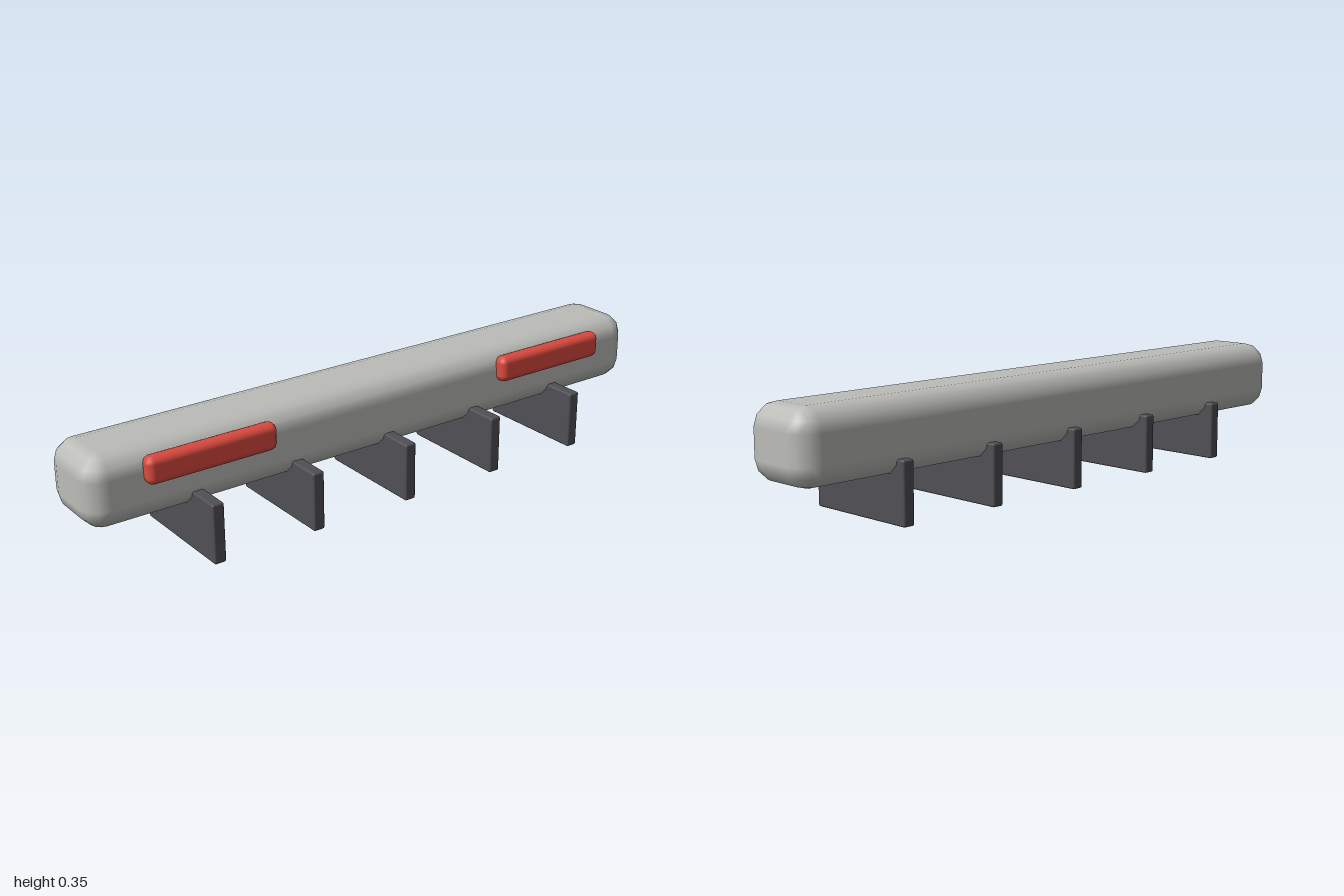
import * as THREE from 'three';
import { ConvexGeometry } from 'three/addons/geometries/ConvexGeometry.js';

// Box with edges rounded in three steps; normals follow the rounding.
function roundedBox(w, h, d, r) {
  const core = new THREE.Vector3(w / 2 - r, h / 2 - r, d / 2 - r);
  const points = [];
  for (const sx of [-1, 1]) for (const sy of [-1, 1]) for (const sz of [-1, 1]) {
    for (let i = 0; i <= 3; i++) {
      const a = (i * Math.PI) / 6;
      const steps = i === 3 ? 0 : 3;
      for (let j = 0; j <= steps; j++) {
        const b = (j * Math.PI) / 6;
        points.push(new THREE.Vector3(
          sx * (core.x + r * Math.cos(a) * Math.cos(b)),
          sy * (core.y + r * Math.sin(a)),
          sz * (core.z + r * Math.cos(a) * Math.sin(b))
        ));
      }
    }
  }
  const geometry = new ConvexGeometry(points);
  const { position, normal } = geometry.attributes;
  const p = new THREE.Vector3(), q = new THREE.Vector3(), low = core.clone().negate();
  for (let i = 0; i < position.count; i++) {
    p.fromBufferAttribute(position, i);
    q.copy(p).clamp(low, core);
    p.sub(q).normalize();
    normal.setXYZ(i, p.x, p.y, p.z);
  }
  return geometry;
}

export function createModel() {
  const model = new THREE.Group();
  model.name = 'finnedBar';
  const material = (name, color) => {
    const m = new THREE.MeshStandardMaterial({ color });
    m.name = name;
    return m;
  };
  const grey = material('lightGrey', 0xbcbcb8);
  const dark = material('darkGrey', 0x505055);
  const red = material('red', 0xdc4a40);

  const add = (name, geometry, mat, x, y, z) => {
    const mesh = new THREE.Mesh(geometry, mat);
    mesh.name = name;
    mesh.position.set(x, y, z);
    model.add(mesh);
  };

  // Long rounded bar
  add('bar', roundedBox(2, 0.218, 0.25, 0.066), grey, 0, 0.243, -0.041);

  // Red lights on the front
  const light = roundedBox(0.415, 0.083, 0.05, 0.021);
  for (const side of [-1, 1]) {
    add(side > 0 ? 'leftLight' : 'rightLight', light, red, side * 0.626, 0.294, 0.093);
  }

  // Upright support plates under the bar
  const plate = roundedBox(0.038, 0.184, 0.374, 0.006);
  for (let i = -2; i <= 2; i++) {
    add('supportPlate' + (i + 3), plate, dark, i * 0.333, 0.092, 0);
  }
  return model;
}
